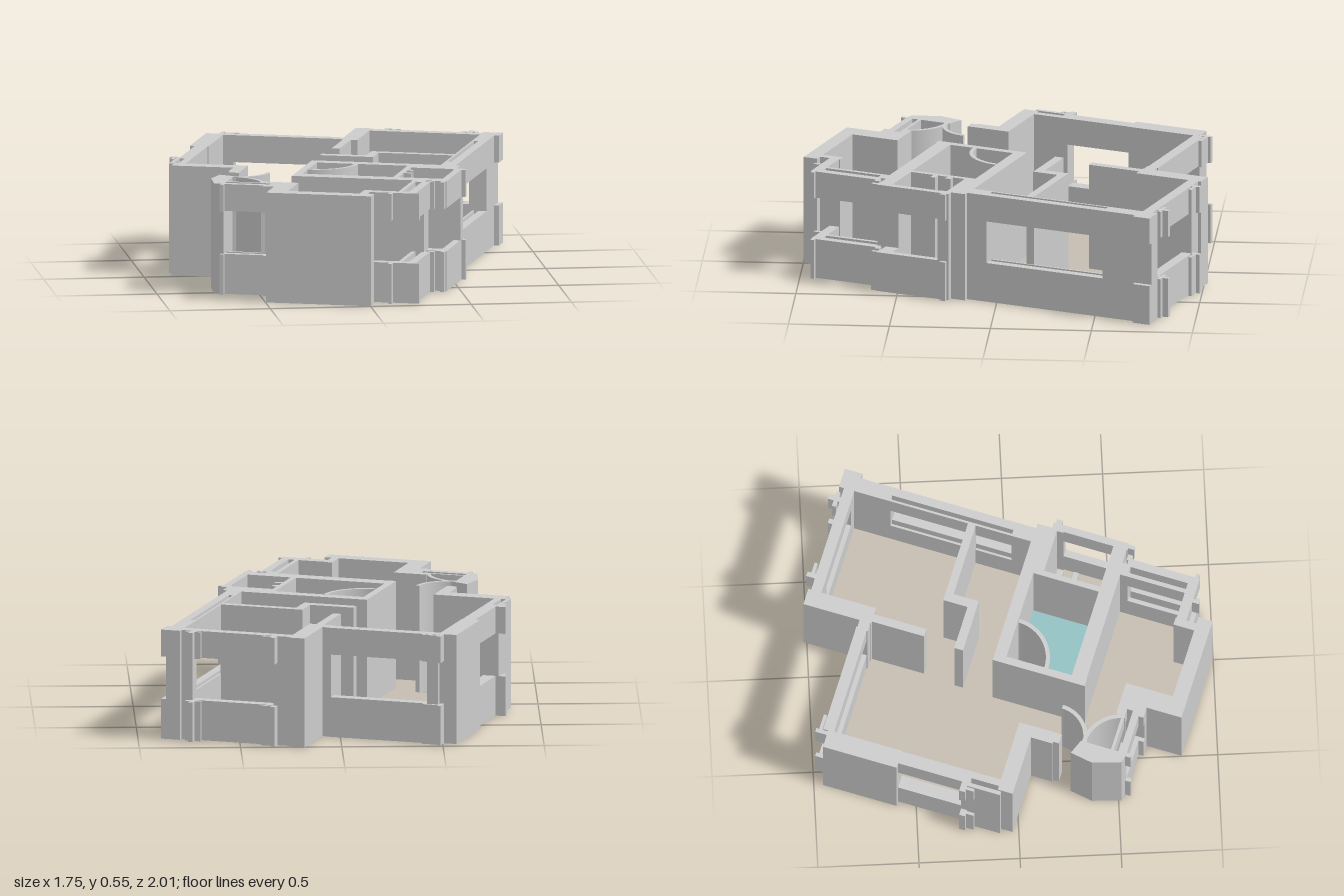
import * as THREE from 'three';

const H = 0.55, SILL = 0.2, HEAD = 0.415, FLOOR = 0.012;

export function createModel() {
  const house = new THREE.Group();
  house.name = 'floorPlanHouse';
  // The plan is laid out square in (x, z) and then turned as a whole.
  house.rotation.y = THREE.MathUtils.degToRad(-19.5);

  const wallMat = new THREE.MeshStandardMaterial({ color: 0xcccccc });
  const floorMat = new THREE.MeshStandardMaterial({ color: 0xc6bdb1 });
  const tileMat = new THREE.MeshStandardMaterial({ color: 0x93c1c2 });

  const add = (name, geo, mat) => {
    const m = new THREE.Mesh(geo, mat);
    m.name = name;
    house.add(m);
    return m;
  };
  // Box given by its plan rectangle and height range
  const block = (name, [x0, x1, z0, z1], y0 = 0, y1 = H, mat = wallMat) =>
    add(name, new THREE.BoxGeometry(x1 - x0, y1 - y0, z1 - z0), mat)
      .position.set((x0 + x1) / 2, (y0 + y1) / 2, (z0 + z1) / 2);
  // Wall with a window opening: only the sill and the lintel
  const windowBand = (name, r) => {
    block(name + 'Sill', r, 0, SILL);
    block(name + 'Lintel', r, HEAD, H);
  };
  // Plan shape (drawn with y = -z) raised to a height
  const raise = (name, shape, y0, y1, mat) => {
    const g = new THREE.ExtrudeGeometry(shape, { depth: y1 - y0, bevelEnabled: false, curveSegments: 14 });
    g.rotateX(-Math.PI / 2);
    g.translate(0, y0, 0);
    return add(name, g, mat);
  };
  const arcWall = (name, cx, cz, r, a0, a1, t = 0.02) => {
    const s = new THREE.Shape();
    s.absarc(cx, -cz, r + t / 2, a0, a1, false);
    s.absarc(cx, -cz, r - t / 2, a1, a0, true);
    raise(name, s, 0, H, wallMat);
  };

  // Floors
  [
    ['livingFloor', [-0.77, -0.13, -0.69, 0.2]],
    ['bedroomFloor', [-0.13, 0.48, -0.96, -0.02]],
    ['hallFloor', [-0.46, -0.15, 0.2, 0.355]],
    ['passageFloor', [-0.31, -0.15, 0.355, 0.64]],
    ['bayFloor', [-0.47, -0.31, 0.51, 0.67]],
    ['frontRoomFloor', [-0.15, 0.44, 0.42, 0.77]],
    ['frontRoomEndFloor', [-0.11, 0.27, 0.77, 0.88]],
    ['sideRoomFloor', [0.34, 0.575, 0.06, 0.36]],
  ].forEach(([n, r]) => block(n, r, 0, FLOOR, floorMat));
  block('tiledFloor', [-0.15, 0.33, 0.01, 0.365], 0, FLOOR, tileMat);
  const quarter = new THREE.Shape();
  quarter.moveTo(-0.14, -0.025);
  quarter.absarc(-0.14, -0.025, 0.2, -Math.PI / 2, 0, false);
  raise('closetFloor', quarter, -0.001, FLOOR + 0.002, floorMat);

  // Full-height walls
  [
    ['livingLeftWall', [-0.855, -0.762, -0.71, -0.33]],
    ['livingBackLeftPier', [-0.765, -0.71, -0.735, -0.68]],
    ['livingBackRightPier', [-0.21, -0.16, -0.73, -0.675]],
    ['livingLeftOuterLeaf', [-0.845, -0.825, 0.02, 0.2]],
    ['livingLeftInnerLeaf', [-0.8, -0.765, 0.0, 0.2]],
    ['livingLeftPier', [-0.845, -0.765, 0.0, 0.04]],
    ['livingFrontWall', [-0.82, -0.45, 0.181, 0.258]],
    ['hallLeftWall', [-0.51, -0.45, 0.25, 0.37]],
    ['hallReturn', [-0.5, -0.45, 0.345, 0.4]],
    ['bayFrontPier', [-0.23, -0.19, 0.64, 0.76]],
    ['frontRoomNib', [-0.27, -0.1, 0.625, 0.66]],
    ['frontRoomLeftWall', [-0.195, -0.1, 0.63, 0.94]],
    ['frontRoomFrontWall', [-0.17, 0.335, 0.867, 0.94]],
    ['frontRoomNotchWall', [0.262, 0.3, 0.76, 0.87]],
    ['frontRoomRightPier', [0.437, 0.5, 0.4, 0.47]],
    ['tiledBackWall', [-0.175, 0.48, -0.04, 0.02]],
    ['tiledLeftWall', [-0.175, -0.138, -0.04, 0.435]],
    ['tiledFrontWall', [-0.175, 0.5, 0.357, 0.432]],
    ['tiledRightWall', [0.32, 0.347, 0.0, 0.36]],
    ['tiledRightStub', [0.34, 0.375, 0.13, 0.16]],
    ['tiledRightStub', [0.34, 0.385, 0.21, 0.235]],
    ['sideRoomBackWall', [0.34, 0.575, -0.035, 0.067]],
    ['sideRoomBackPier', [0.565, 0.605, 0.04, 0.1]],
    ['bedroomRightWall', [0.476, 0.55, -0.14, 0.05]],
    ['bedroomRightPier', [0.476, 0.55, -1.03, -0.766]],
    ['bedroomBackLeftPier', [-0.09, 0.0, -1.005, -0.952]],
    ['bedroomBackRightPier', [0.42, 0.48, -1.005, -0.952]],
    ['dividerThick', [-0.165, -0.082, -1.02, -0.67]],
    ['dividerThin', [-0.155, -0.115, -0.68, -0.4]],
    ['partitionShort', [-0.17, 0.1, -0.24, -0.195]],
    ['partitionStep', [0.055, 0.1, -0.365, -0.2]],
    ['partitionLong', [0.055, 0.48, -0.365, -0.325]],
  ].forEach(([n, r]) => block(n, r));

  // Bay side wall with chamfered corners
  const bay = new THREE.Shape([[-0.53, 0.47], [-0.55, 0.585], [-0.505, 0.725], [-0.455, 0.735], [-0.455, 0.5]]
    .map(([x, z]) => new THREE.Vector2(x, -z)));
  raise('bayLeftWall', bay, 0, H, wallMat);

  // Curved walls
  arcWall('closetCurvedWall', -0.14, 0.025, 0.2, -Math.PI / 2, 0);
  arcWall('bayCurvedWall', -0.47, 0.36, 0.16, -Math.PI / 2, 0);
  arcWall('bayInnerCurvedWall', -0.46, 0.71, 0.195, 0.2, Math.PI / 2);

  // Window walls
  [
    ['livingBackWindow', [-0.715, -0.2, -0.735, -0.68]],
    ['livingLeftWindow', [-0.83, -0.765, -0.335, 0.01]],
    ['bedroomBackWindow', [-0.005, 0.425, -1.005, -0.952]],
    ['bedroomRightOuterWindow', [0.508, 0.55, -0.77, -0.135]],
    ['bedroomRightInnerWindow', [0.476, 0.487, -0.77, -0.135]],
    ['sideRoomWindow', [0.57, 0.605, 0.095, 0.43]],
    ['sideRoomFrontWindow', [0.495, 0.605, 0.357, 0.425]],
    ['frontRoomNotchWindow', [0.295, 0.53, 0.765, 0.815]],
    ['frontRoomOuterWindow', [0.49, 0.53, 0.45, 0.77]],
    ['frontRoomInnerWindow', [0.437, 0.458, 0.46, 0.77]],
    ['bayFrontOuterWindow', [-0.46, -0.225, 0.7, 0.735]],
    ['bayFrontInnerWindow', [-0.46, -0.225, 0.655, 0.67]],
  ].forEach(([n, r]) => windowBand(n, r));

  // Small stubs at the window ends, outside the facade
  [
    [-0.79, -0.77, -0.77, -0.7], [-0.77, -0.69, -0.755, -0.74],
    [-0.88, -0.84, 0.0, 0.03], [-0.865, -0.85, 0.0, 0.07],
    [-0.02, 0.005, -1.05, -1.0], [-0.005, 0.06, -1.03, -1.015],
    [0.4, 0.425, -1.065, -1.0], [0.37, 0.45, -1.035, -1.015],
    [0.535, 0.575, -1.03, -0.94], [0.52, 0.55, 0.44, 0.465],
    [0.525, 0.55, 0.79, 0.81], [0.4, 0.42, 0.81, 0.85],
    [0.59, 0.625, 0.05, 0.08], [0.58, 0.6, 0.42, 0.46],
    [-0.25, -0.23, 0.73, 0.76], [-0.47, -0.45, 0.73, 0.76],
  ].forEach((r) => windowBand('windowStub', r));

  const model = new THREE.Group();
  model.name = 'model';
  model.add(house);
  return model;
}
